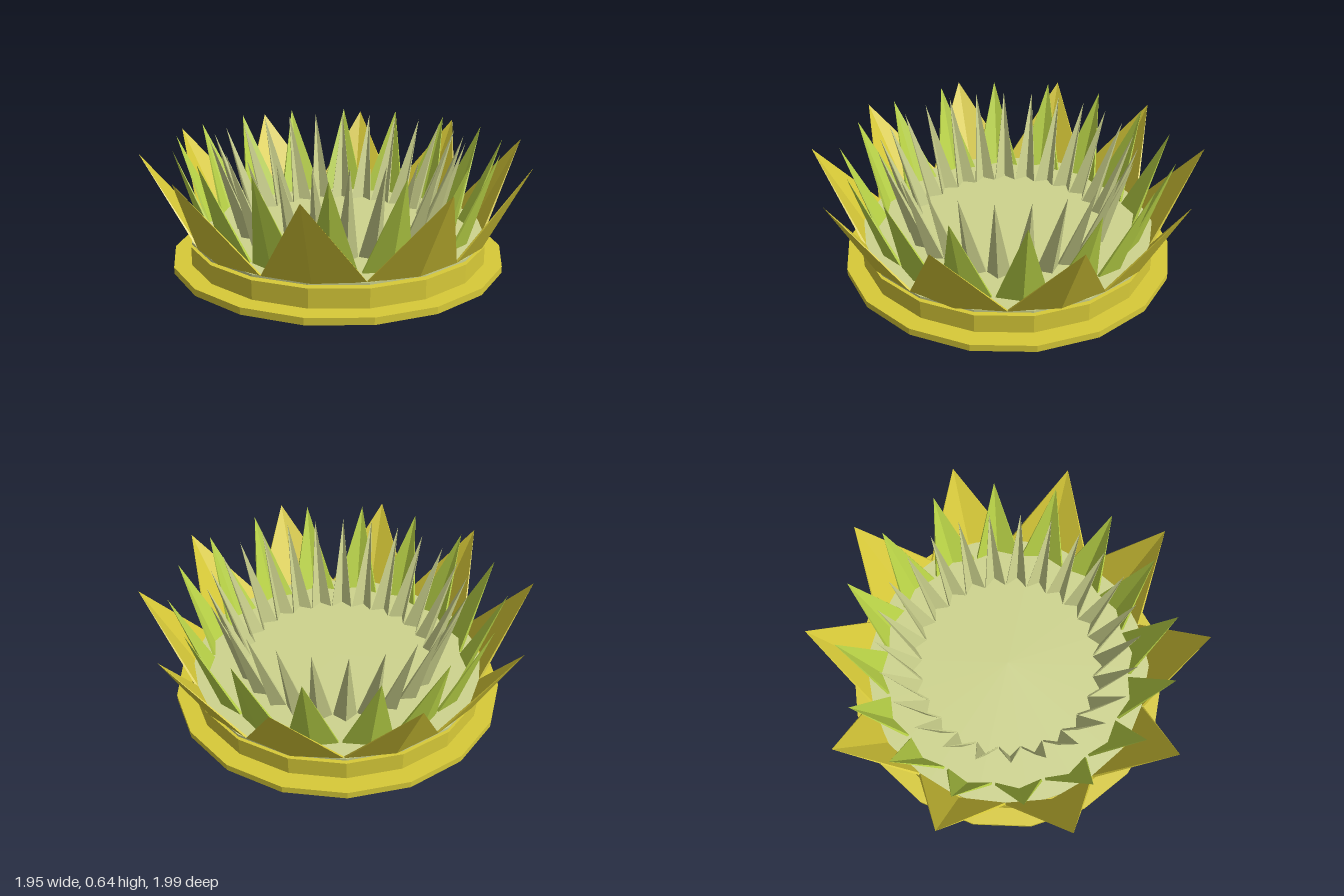
import * as THREE from 'three';

const flat = (name, color) => {
  const m = new THREE.MeshStandardMaterial({ color });
  m.name = name;
  return m;
};

// Flat-sided disc standing between two heights
function disc(name, material, radius, y0, y1, sides = 18) {
  const start = THREE.MathUtils.degToRad(13);
  const g = new THREE.CylinderGeometry(radius, radius, y1 - y0, sides, 1, false, start).toNonIndexed();
  g.computeVertexNormals();
  const mesh = new THREE.Mesh(g, material);
  mesh.name = name;
  mesh.position.y = (y0 + y1) / 2;
  return mesh;
}

// Pointed petal folded outwards along its middle, a thin solid facing +z
function petalGeometry({ count, baseY, edgeR, ridgeR, tipR, tipY, thick }) {
  const half = Math.PI / count;
  const at = (r, a) => [r * Math.sin(a), baseY, r * Math.cos(a)];
  const ring = [
    at(edgeR, -half), at(ridgeR, 0), at(edgeR, half),
    at(edgeR - thick, half), at(ridgeR - thick, 0), at(edgeR - thick, -half),
  ];
  const tip = [0, tipY, tipR];
  const pos = [];
  ring.forEach((p, i) => pos.push(...p, ...ring[(i + 1) % 6], ...tip));
  // underside
  for (const [a, b, c] of [[0, 4, 1], [0, 5, 4], [1, 4, 2], [4, 3, 2]]) {
    pos.push(...ring[a], ...ring[b], ...ring[c]);
  }
  const g = new THREE.BufferGeometry();
  g.setAttribute('position', new THREE.Float32BufferAttribute(pos, 3));
  g.computeVertexNormals();
  return g;
}

function petalRing(name, material, spec) {
  const group = new THREE.Group();
  group.name = name + 'Ring';
  const geometry = petalGeometry(spec);
  for (let i = 0; i < spec.count; i++) {
    const petal = new THREE.Mesh(geometry, material);
    petal.name = name;
    petal.rotation.y = spec.offset + (i / spec.count) * Math.PI * 2;
    group.add(petal);
  }
  return group;
}

export function createModel() {
  const yellow = flat('yellow', 0xd8ca38);
  const green = flat('green', 0xbcd648);
  const pale = flat('paleGreen', 0xced48e);
  const model = new THREE.Group();
  model.name = 'flowerDish';

  // Stepped base and dish floor
  model.add(
    disc('basePlate', yellow, 0.87, 0, 0.035),
    disc('baseDrum', yellow, 0.78, 0.035, 0.13),
    disc('floorCollar', green, 0.67, 0.13, 0.145, 32),
    disc('dishFloor', pale, 0.775, 0.145, 0.157),
  );

  // Three rings of petals, outermost first
  model.add(
    petalRing('outerPetal', yellow, {
      count: 10, baseY: 0.155, edgeR: 0.77, ridgeR: 0.785, tipR: 1.0, tipY: 0.585, thick: 0.012,
      offset: THREE.MathUtils.degToRad(-5.8),
    }),
    petalRing('middlePetal', green, {
      count: 16, baseY: 0.13, edgeR: 0.665, ridgeR: 0.695, tipR: 0.84, tipY: 0.63, thick: 0.015,
      offset: 0,
    }),
    petalRing('innerPetal', pale, {
      count: 25, baseY: 0.14, edgeR: 0.475, ridgeR: 0.525, tipR: 0.65, tipY: 0.637, thick: 0.012,
      offset: Math.PI,
    }),
  );
  return model;
}
